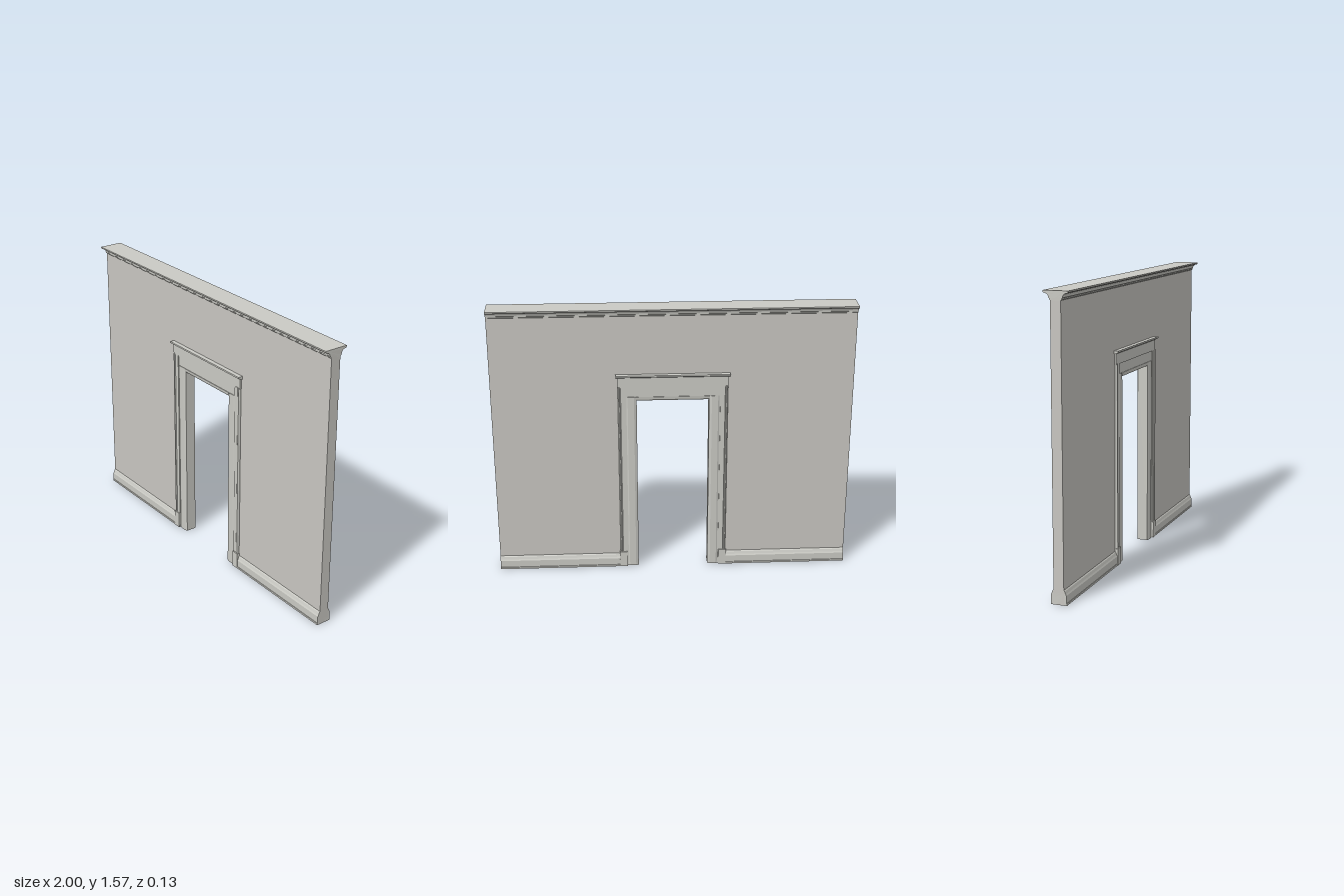
import * as THREE from 'three';

const wallPaint = new THREE.MeshStandardMaterial({ color: 0xc8c6c1 });
wallPaint.name = 'wallPaint';
const trimPaint = new THREE.MeshStandardMaterial({ color: 0xcacac4 });
trimPaint.name = 'trimPaint';

// Closed outline from one half [depth, other], mirrored across depth = 0
function symmetric(half) {
  const back = half.slice().reverse().map(([d, v]) => [-d, v]);
  return [...half, ...back];
}

function extrude(points, depth) {
  const shape = new THREE.Shape(points.map(([a, b]) => new THREE.Vector2(a, b)));
  return new THREE.ExtrudeGeometry(shape, { depth, bevelEnabled: false });
}

export function createModel() {
  const group = new THREE.Group();
  const add = (name, geometry, material = trimPaint) => {
    const mesh = new THREE.Mesh(geometry, material);
    mesh.name = name;
    group.add(mesh);
  };

  // Section [z, y] swept along x
  const sweepX = (name, half, x0, x1) => {
    const g = extrude(symmetric(half), x1 - x0);
    g.rotateY(Math.PI / 2);
    g.translate(x0, 0, 0);
    add(name, g);
  };

  // Plan [z, x] swept up along y, on the side given by sign
  const sweepY = (name, half, sign, y0, y1) => {
    const g = extrude(symmetric(half).map(([z, x]) => [sign * x, z]), y1 - y0);
    g.rotateX(-Math.PI / 2);
    g.translate(0, y0, 0);
    add(name, g);
  };

  const box = (name, x0, x1, y0, y1, z) => {
    const g = new THREE.BoxGeometry(x1 - x0, y1 - y0, 2 * z);
    g.translate((x0 + x1) / 2, (y0 + y1) / 2, 0);
    add(name, g);
  };

  // Wall with the doorway cut through it
  const wall = extrude([
    [-1, 0], [-0.21, 0], [-0.21, 1.05], [0.21, 1.05], [0.21, 0],
    [1, 0], [1, 1.56], [-1, 1.56],
  ], 0.056);
  wall.translate(0, 0, -0.028);
  add('wall', wall, wallPaint);

  // Crown moulding with a cove on both faces
  const crown = [[0.028, 1.525], [0.033, 1.529], [0.033, 1.535], [0.037, 1.538]];
  for (let i = 1; i <= 5; i++) {
    const a = (i / 5) * Math.PI / 2;
    crown.push([0.037 + 0.024 * (1 - Math.cos(a)), 1.538 + 0.022 * Math.sin(a)]);
  }
  crown.push([0.067, 1.565], [0.067, 1.572]);
  sweepX('crownMoulding', crown, -1, 1);

  // Skirting boards either side of the doorway
  const skirting = [[0.044, 0], [0.044, 0.01], [0.042, 0.012], [0.042, 0.052],
    [0.038, 0.06], [0.033, 0.074], [0.028, 0.08]];
  sweepX('skirtingRight', skirting, -1, -0.3);
  sweepX('skirtingLeft', skirting, 0.3, 1);

  // Stepped door casing, plinth and jamb on each side
  const architrave = [[0.03, 0.2], [0.034, 0.21], [0.036, 0.215], [0.036, 0.25],
    [0.032, 0.257], [0.032, 0.262]];
  const pilaster = [[0.038, 0.262], [0.038, 0.288], [0.034, 0.291],
    [0.042, 0.294], [0.042, 0.3], [0.036, 0.304]];
  for (const [side, sign] of [['Left', 1], ['Right', -1]]) {
    sweepY('architrave' + side, architrave, sign, 0, 1.06);
    sweepY('pilaster' + side, pilaster, sign, 0, 1.12);
    const [a, b] = [sign * 0.264, sign * 0.308];
    box('plinth' + side, Math.min(a, b), Math.max(a, b), 0, 0.095, 0.045);
  }

  // Door head: lining, recessed panel, frieze and cap
  sweepX('headLining', [[0.03, 1.038], [0.034, 1.046], [0.036, 1.06]], -0.205, 0.205);
  box('headPanel', -0.262, 0.262, 1.06, 1.12, 0.033);
  box('frieze', -0.306, 0.306, 1.115, 1.18, 0.037);
  sweepX('headCap', [[0.037, 1.174], [0.046, 1.18], [0.054, 1.183], [0.054, 1.192]],
    -0.315, 0.315);

  return group;
}
